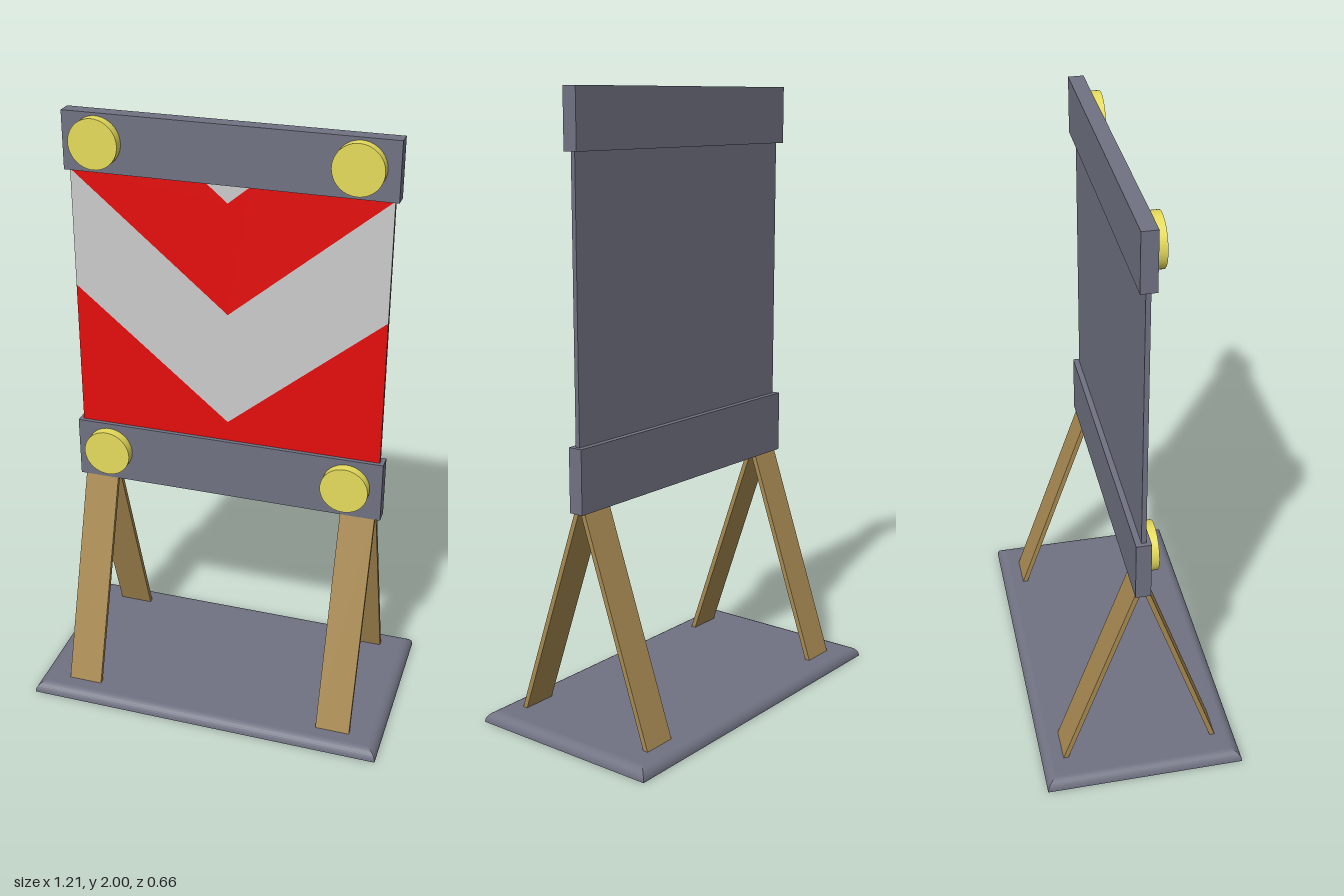
import * as THREE from 'three';

const mat = (color) => new THREE.MeshStandardMaterial({ color });

export function createModel() {
  const group = new THREE.Group();
  const slate = mat(0x707282), red = mat(0xe60e0e), white = mat(0xcccccc);
  const yellow = mat(0xe6dc5c), wood = mat(0xa88a52);

  const add = (name, geometry, material, x = 0, y = 0, z = 0) => {
    const mesh = new THREE.Mesh(geometry, material);
    mesh.name = name;
    mesh.position.set(x, y, z);
    group.add(mesh);
    return mesh;
  };
  const shape = (points) => new THREE.Shape(points.map(([x, y]) => new THREE.Vector2(x, y)));

  // Base plate: rectangular loops inset along a quarter round, mitred corners
  add('basePlate', plateGeometry(0.607, 0.332, 0.035), slate);

  // Two A-frames of slanted planks, cut level with the plate
  const legWidth = 0.115;
  for (const side of [1, -1]) {
    for (const dir of [1, -1]) {
      const profile = shape([[0.262, 0.033], [0.245, 0.033], [-0.004, 0.76], [0.013, 0.76]]
        .map(([z, y]) => [z * dir, y]));
      const leg = new THREE.ExtrudeGeometry(profile, { depth: legWidth, bevelEnabled: false });
      leg.translate(0, 0, -legWidth / 2);
      leg.rotateY(-Math.PI / 2); // profile x becomes z
      add(`${side > 0 ? 'left' : 'right'}${dir > 0 ? 'Front' : 'Back'}Leg`, leg, wood, side * 0.445);
    }
  }

  // Sign board between the two rails
  const half = 0.507, low = 0.94, high = 1.815;
  add('signBoard', new THREE.BoxGeometry(half * 2, high - low + 0.04, 0.015), slate, 0, (low + high) / 2, 0);

  // Chevron facing: flat stripes just proud of the board
  const face = (name, points, material) =>
    add(name, new THREE.ShapeGeometry(shape(points)), material, 0, 0, 0.0085);
  face('lowerRedStripe', [[-half, low], [half, low], [half, 1.43], [0, 1.01], [-half, 1.43]], red);
  face('whiteChevron', [[-half, 1.43], [0, 1.01], [half, 1.43], [half, high], [0, 1.39], [-half, high]], white);
  face('upperRedStripe', [[-half, high], [0, 1.39], [half, high], [0.072, high], [0, 1.755], [-0.072, high]], red);
  face('whiteTip', [[-0.072, high], [0, 1.755], [0.072, high]], white);

  // Rails, each with a pair of round lamps
  for (const [prefix, bottom, top, lampY] of [['upper', 1.815, 2, 1.912], ['lower', 0.738, 0.943, 0.847]]) {
    add(`${prefix}Rail`, new THREE.BoxGeometry(1.042, top - bottom, 0.049), slate, 0, (top + bottom) / 2, -0.002);
    for (const [side, x] of [['Left', 0.403], ['Right', -0.411]]) {
      const lamp = new THREE.CylinderGeometry(0.079, 0.079, 0.036, 48);
      lamp.rotateX(Math.PI / 2);
      add(`${prefix}${side}Lamp`, lamp, yellow, x, lampY, 0.037);
    }
  }
  return group;
}

// Rectangular plate with a quarter-round top edge of radius r
function plateGeometry(hx, hz, r) {
  const pos = [], steps = 8;
  const corners = (i) => {
    const a = (i / steps) * Math.PI / 2;
    const inset = r * (1 - Math.cos(a)), y = r * Math.sin(a);
    const x = hx - inset, z = hz - inset;
    return [[x, y, z], [x, y, -z], [-x, y, -z], [-x, y, z]];
  };
  const quad = (a, b, c, d) => pos.push(...a, ...b, ...c, ...a, ...c, ...d);
  for (let i = 0; i < steps; i++) {
    const lower = corners(i), upper = corners(i + 1);
    for (let k = 0; k < 4; k++) {
      const n = (k + 1) % 4;
      quad(lower[k], lower[n], upper[n], upper[k]);
    }
  }
  quad(...corners(steps));
  quad(...corners(0).reverse());
  const geometry = new THREE.BufferGeometry();
  geometry.setAttribute('position', new THREE.Float32BufferAttribute(pos, 3));
  geometry.computeVertexNormals();
  return geometry;
}
